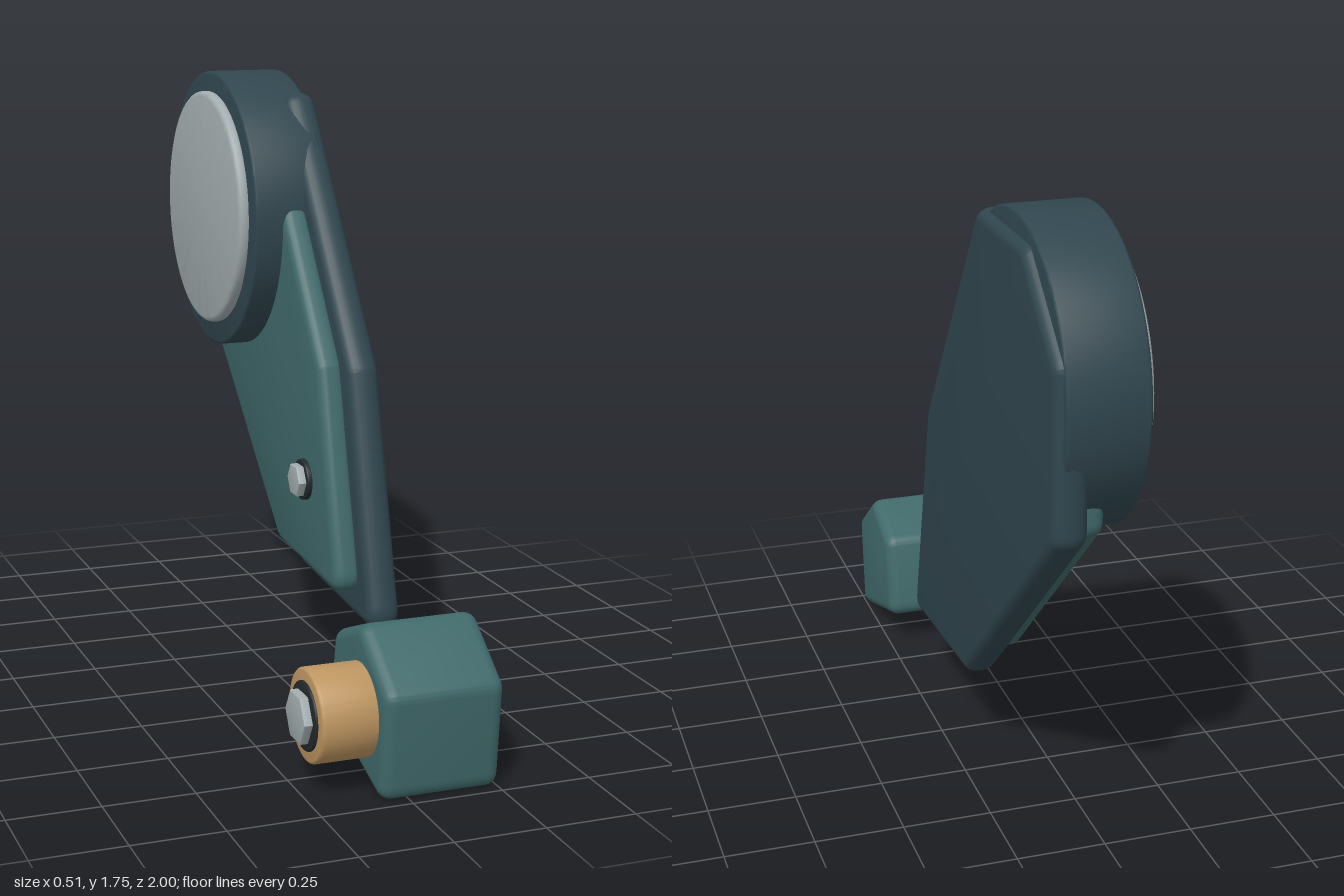
import * as THREE from 'three';
import { toCreasedNormals } from 'three/addons/utils/BufferGeometryUtils.js';

const paint = (name, color) => {
  const m = new THREE.MeshStandardMaterial({ color });
  m.name = name;
  return m;
};

// Closed polygon from [z, y] corners, each rounded to about radius r
function roundedShape(corners, r) {
  const pts = corners.map(([z, y]) => new THREE.Vector2(-z, y));
  const shape = new THREE.Shape();
  pts.forEach((p, i) => {
    const a = pts[(i + pts.length - 1) % pts.length].clone().sub(p).normalize();
    const b = pts[(i + 1) % pts.length].clone().sub(p).normalize();
    const cut = r / Math.tan(Math.acos(a.dot(b)) / 2);
    const start = p.clone().addScaledVector(a, cut);
    const end = p.clone().addScaledVector(b, cut);
    if (i === 0) shape.moveTo(start.x, start.y);
    else shape.lineTo(start.x, start.y);
    shape.quadraticCurveTo(p.x, p.y, end.x, end.y);
  });
  shape.closePath();
  return shape;
}

// Soft-edged slab spanning x0..x1 with a side outline in [z, y]
function slab(corners, x0, x1, radius, bevelSize, bevelThickness) {
  const geo = new THREE.ExtrudeGeometry(roundedShape(corners, radius), {
    depth: x1 - x0 - 2 * bevelThickness,
    bevelEnabled: true, bevelSize, bevelThickness,
    bevelOffset: -bevelSize, bevelSegments: 5, curveSegments: 8,
  });
  geo.translate(0, 0, x0 + bevelThickness);
  geo.rotateY(Math.PI / 2);
  return toCreasedNormals(geo, 0.6);
}

// Round (or six-sided) disc along x with softened rims
function disc(r, x0, x1, edge, y, z, sides = 64) {
  const profile = [new THREE.Vector2(0, x0)];
  const steps = 3;
  for (let i = 0; i <= steps; i++) {
    const t = (i / steps) * Math.PI / 2;
    profile.push(new THREE.Vector2(r - edge + edge * Math.sin(t), x0 + edge - edge * Math.cos(t)));
  }
  for (let i = 0; i <= steps; i++) {
    const t = (i / steps) * Math.PI / 2;
    profile.push(new THREE.Vector2(r - edge + edge * Math.cos(t), x1 - edge + edge * Math.sin(t)));
  }
  profile.push(new THREE.Vector2(0, x1));
  const geo = new THREE.LatheGeometry(profile, sides);
  geo.rotateZ(-Math.PI / 2);
  geo.translate(0, y, z);
  return toCreasedNormals(geo, 0.6);
}

export function createModel() {
  const slate = paint('slate', 0x30464e);
  const teal = paint('teal', 0x40696a);
  const tan = paint('tan', 0xbd9560);
  const steel = paint('steel', 0xa2acae);
  const black = paint('black', 0x22292c);

  const model = new THREE.Group();
  model.name = 'model';
  const add = (name, geo, mat, parent = model) => {
    const mesh = new THREE.Mesh(geo, mat);
    mesh.name = name;
    parent.add(mesh);
  };
  const group = (name) => {
    const g = new THREE.Group();
    g.name = name;
    model.add(g);
    return g;
  };

  // Tall arm: outer plate with a smaller liner on its inner face
  const arm = group('arm');
  const outline = [
    [0.388, 0.245], [0.2, 0.97], [-0.325, 1.705], [-0.72, 1.705],
    [-0.98, 1.475], [-0.98, 1.01], [-0.185, 0.287],
  ];
  const inset = outline.map(([z, y]) => [-0.38 + (z + 0.38) * 0.875, 0.98 + (y - 0.98) * 0.88]);
  add('outerPlate', slab(outline, 0.135, 0.23, 0.055, 0.033, 0.043), slate, arm);
  add('innerPlate', slab(inset, 0.068, 0.15, 0.055, 0.03, 0.03), teal, arm);

  // Round housing with a pale cover
  const housing = group('housing');
  add('housingDrum', disc(0.42, -0.015, 0.205, 0.008, 1.34, -0.58, 96), slate, housing);
  add('housingCover', disc(0.355, -0.045, -0.005, 0.015, 1.345, -0.58, 96), steel, housing);

  // Bolt on the arm
  const armBolt = group('armBolt');
  add('armBoltWasher', disc(0.06, 0.053, 0.075, 0.004, 0.618, 0.03, 32), black, armBolt);
  add('armBoltHead', disc(0.05, 0.03, 0.06, 0.004, 0.618, 0.03, 6), steel, armBolt);

  // Separate five-sided foot block
  const foot = group('foot');
  const block = [[1.003, 0.3], [0.815, 0.44], [0.628, 0.365], [0.587, 0.122], [0.975, -0.003]];
  add('footBlock', slab(block, -0.078, 0.254, 0.045, 0.032, 0.035), teal, foot);

  // Bushing and bolt on the side of the foot
  add('footBushing', disc(0.125, -0.23, -0.06, 0.008, 0.215, 0.83), tan, foot);
  add('footBoltWasher', disc(0.092, -0.237, -0.22, 0.004, 0.215, 0.83, 32), black, foot);
  add('footBoltHead', disc(0.072, -0.26, -0.23, 0.004, 0.215, 0.83, 6), steel, foot);

  return model;
}
